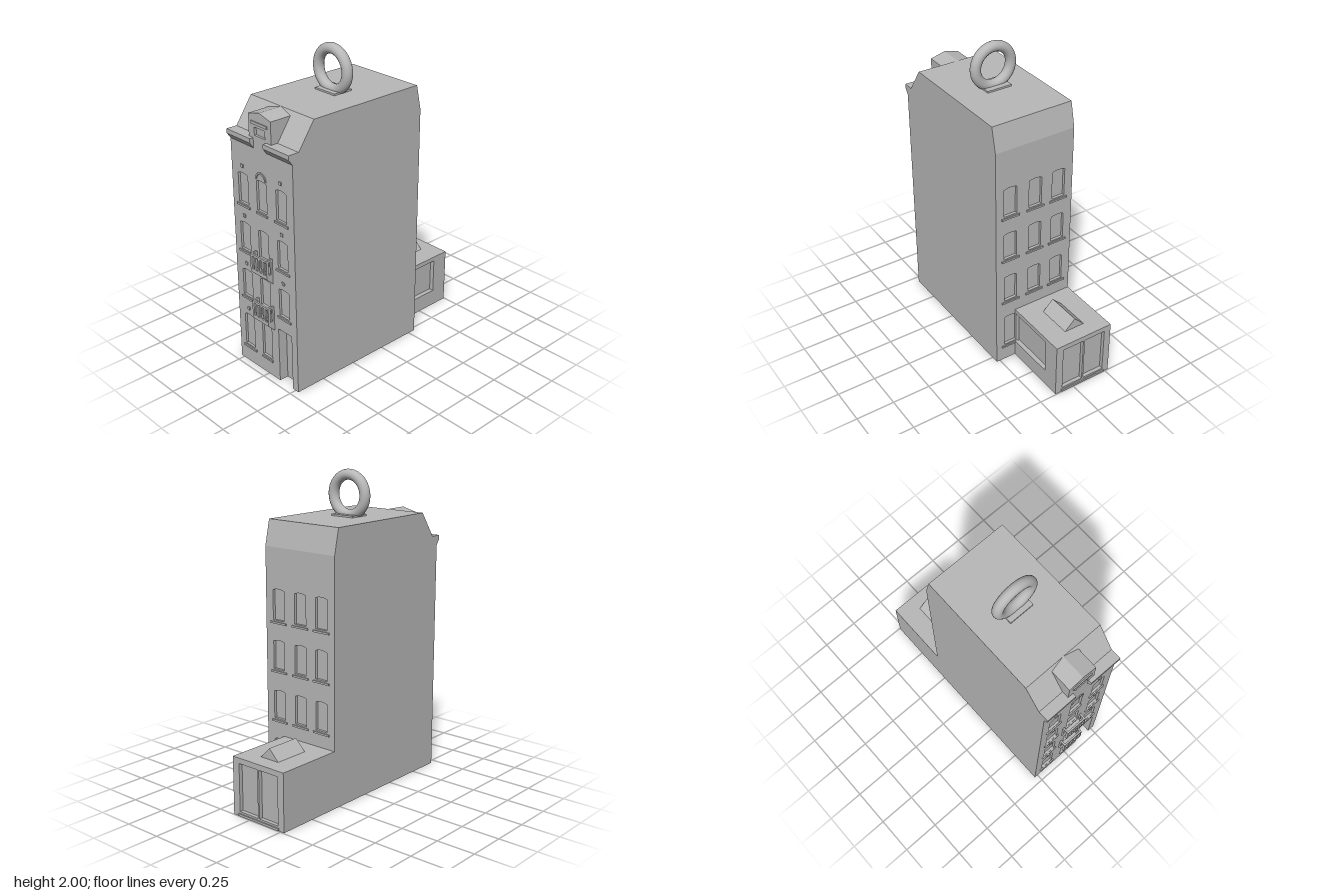
import * as THREE from 'three';

export function createModel() {
  const model = new THREE.Group();
  const stone = new THREE.MeshStandardMaterial({ color: 0xb8b8b8 });
  stone.name = 'stone grey';

  const add = (name, geometry) => {
    const mesh = new THREE.Mesh(geometry, stone);
    mesh.name = name;
    model.add(mesh);
    return mesh;
  };
  const box = (name, x0, x1, y0, y1, z0, z1) =>
    add(name, new THREE.BoxGeometry(x1 - x0, y1 - y0, z1 - z0)
      .translate((x0 + x1) / 2, (y0 + y1) / 2, (z0 + z1) / 2));
  const polygon = (points) => new THREE.Shape(points.map(([a, b]) => new THREE.Vector2(a, b)));
  const rect = (x0, x1, y0, y1) => polygon([[x0, y0], [x1, y0], [x1, y1], [x0, y1]]);
  // an outline in x, y pushed along z
  const slabZ = (name, shape, z0, z1) =>
    add(name, new THREE.ExtrudeGeometry(shape, { depth: z1 - z0, bevelEnabled: false, curveSegments: 8 })
      .translate(0, 0, z0));
  // an outline in z, y pushed along x
  const slabX = (name, shape, x0, x1) =>
    add(name, new THREE.ExtrudeGeometry(shape, { depth: x1 - x0, bevelEnabled: false })
      .rotateY(-Math.PI / 2).translate(x1, 0, 0));
  // window opening with a slightly curved head
  const opening = (x, w, y0, y1) => {
    const s = new THREE.Shape();
    s.moveTo(x - w / 2, y0);
    s.lineTo(x + w / 2, y0);
    s.lineTo(x + w / 2, y1 - 0.008);
    s.quadraticCurveTo(x, y1 + 0.008, x - w / 2, y1 - 0.008);
    s.closePath();
    return s;
  };

  const W = 0.275;
  const sills = [0.105, 0.46, 0.78, 1.09];
  const tops = [0.345, 0.66, 0.98, 1.3];

  // main block between the two facades
  slabX('houseBody', polygon([[-0.282, 0], [0.645, 0], [0.645, 1.55], [0.66, 1.55],
    [0.545, 1.715], [-0.265, 1.715], [-0.3, 1.555], [-0.282, 1.555]]), -W, W);

  // front facade: door recess at the bottom right, windows cut through and filled behind
  const front = polygon([[-W, 0], [0.105, 0], [0.105, 0.37], [0.225, 0.37], [0.225, 0],
    [W, 0], [W, 1.55], [-W, 1.55]]);
  [-0.175, -0.006, 0.167].forEach((x, col) => sills.forEach((sill, row) => {
    if (col === 2 && row === 0) return;
    const w = 0.088;
    front.holes.push(opening(x, w, sill + 0.015, tops[row]));
    box('frontWindowPane', x - w / 2 - 0.004, x + w / 2 + 0.004, sill + 0.01, tops[row] + 0.004, 0.645, 0.69);
    const half = col === 1 ? 0.05 : 0.06;
    box('frontSill', x - half, x + half, sill - 0.006, sill + 0.006, 0.7, 0.713);
    if (col !== 1) box('wallBlock', x - 0.01, x + 0.01, tops[row] + 0.035, tops[row] + 0.055, 0.7, 0.711);
  }));
  // small blocks above the door
  box('wallBlock', 0.157, 0.177, 0.385, 0.4, 0.7, 0.705);
  slabZ('frontFacade', front, 0.645, 0.705);

  // arched hood over the top middle window
  const hood = new THREE.Shape();
  hood.absarc(-0.006, 1.308, 0.047, 0, Math.PI, false);
  hood.absarc(-0.006, 1.308, 0.036, Math.PI, 0, true);
  slabZ('archedHood', hood, 0.7, 0.711);

  // back facade
  const back = rect(-W, W, 0, 1.555);
  [-0.172, -0.005, 0.172].forEach((x, col) => sills.forEach((sill, row) => {
    if (row === 0 && col < 2) return;
    const w = 0.09;
    back.holes.push(opening(x, w, sill + 0.015, tops[row]));
    box('backSill', x - 0.063, x + 0.063, sill - 0.006, sill + 0.006, -0.308, -0.295);
  }));
  slabZ('backFacade', back, -0.3, -0.282);

  // cornice, broken in the middle
  const cornice = polygon([[0.7, 1.49], [0.705, 1.49], [0.73, 1.525], [0.73, 1.553], [0.66, 1.553], [0.66, 1.54]]);
  slabX('corniceRight', cornice, -W, -0.062);
  slabX('corniceLeft', cornice, 0.053, W);

  // dormer with a small window and lintel
  const gable = () => polygon([[-0.1, 1.55], [0.097, 1.55], [0.097, 1.69], [-0.002, 1.715], [-0.1, 1.69]]);
  slabZ('dormer', gable(), 0.53, 0.69);
  const dormerFront = gable();
  dormerFront.holes.push(rect(-0.05, 0.043, 1.57, 1.62));
  slabZ('dormerFront', dormerFront, 0.69, 0.705);
  box('dormerLintel', -0.072, 0.068, 1.638, 1.655, 0.7, 0.712);

  // balconies with slotted railings
  for (const y of [0.345, 0.665]) {
    const x0 = -0.08, x1 = 0.07, yb = y + 0.055, yt = y + 0.165;
    slabX('balconyFloor', polygon([[0.7, y], [0.706, y], [0.751, yb - 0.012], [0.751, yb], [0.7, yb]]), x0, x1);
    const rail = rect(x0, x1, yb, yt);
    for (let i = 0; i < 4; i++) {
      const x = -0.064 + i * 0.0347;
      rail.holes.push(rect(x, x + 0.02, yb + 0.012, yt - 0.014));
    }
    slabZ('balconyRail', rail, 0.739, 0.751);
    for (const x of [x0, x1 - 0.012]) {
      const side = rect(0.7, 0.739, yb, yt);
      side.holes.push(rect(0.717, 0.735, yb + 0.012, yt - 0.014));
      slabX('balconySide', side, x, x + 0.012);
    }
  }

  // rear annex with a wide side opening and double doors at the back
  box('annexBody', -W, 0.105, 0, 0.37, -0.72, -0.29);
  slabX('annexSideWall', polygon([[-0.745, 0], [-0.3, 0], [-0.3, 0.11], [-0.63, 0.11],
    [-0.63, 0.34], [-0.3, 0.34], [-0.3, 0.37], [-0.745, 0.37]]), 0.105, 0.135);
  const annexBack = rect(-W, 0.105, 0, 0.37);
  annexBack.holes.push(rect(-0.228, -0.078, 0.03, 0.335), rect(-0.066, 0.084, 0.03, 0.335));
  slabZ('annexBackWall', annexBack, -0.745, -0.72);
  box('annexDoorSill', -0.235, 0.092, 0.004, 0.018, -0.753, -0.74);

  // ridged skylight on the annex roof
  slabZ('skylight', polygon([[-0.14, 0.365], [0, 0.365], [0, 0.37], [-0.07, 0.44], [-0.14, 0.37]]), -0.645, -0.415);

  // hanging ring on its base plate
  box('ringPlate', -0.09, 0.077, 1.71, 1.726, 0.08, 0.215);
  add('hangingRing', new THREE.TorusGeometry(0.123, 0.033, 20, 56).translate(-0.006, 1.844, 0.15));

  return model;
}
